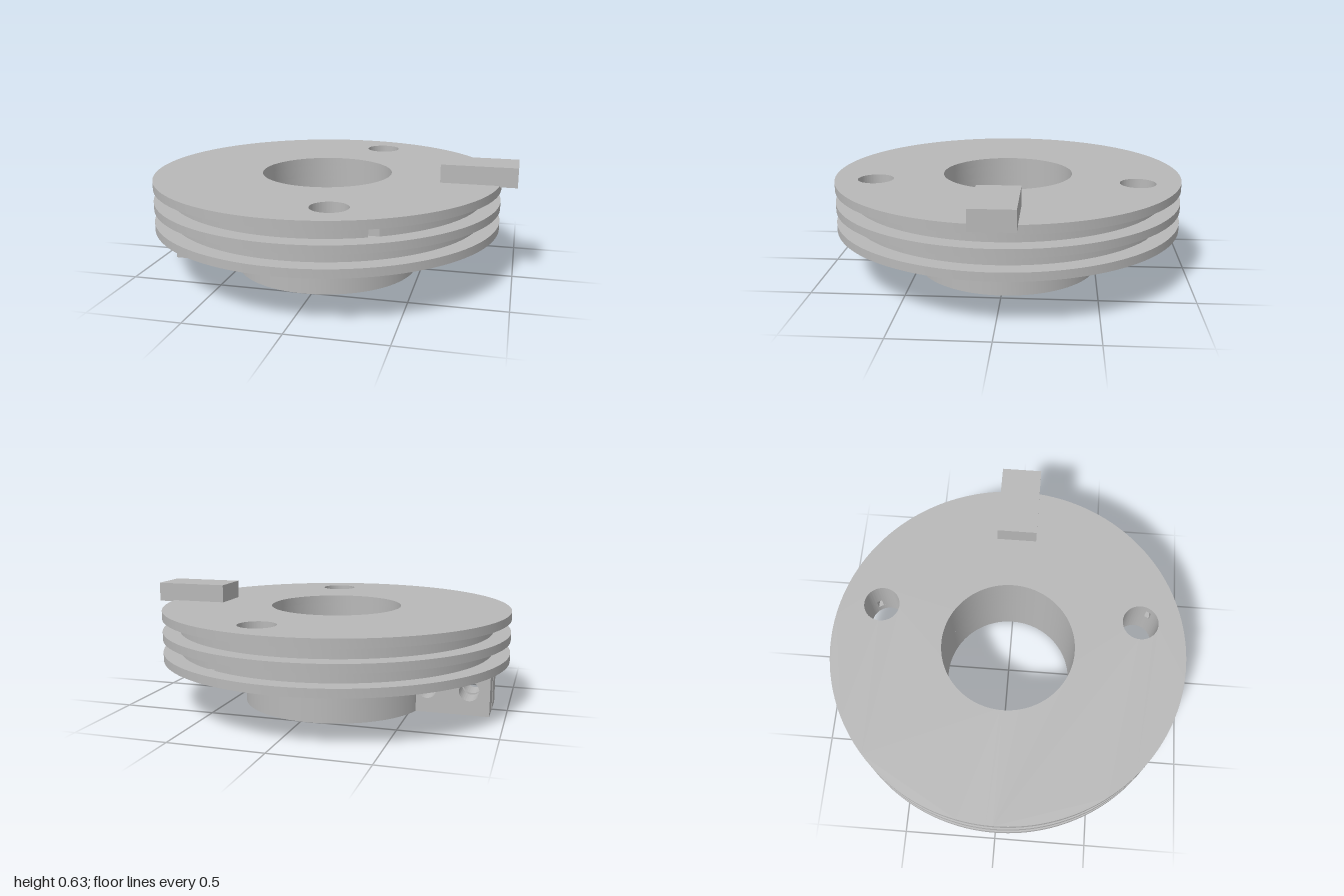
import * as THREE from 'three';
import { toCreasedNormals } from 'three/addons/utils/BufferGeometryUtils.js';

const BORE = 0.36, FLANGE_R = 0.957, GROOVE_R = 0.865, HUB_R = 0.51;
const HOLE = { x: 0.19, y: 0.71, r: 0.097 };
const HUB_H = 0.26;

function circle(Type, x, y, r) {
  const c = new Type();
  c.absarc(x, y, r, 0, Math.PI * 2, false);
  return c;
}

function extrude(shape, depth) {
  const geo = new THREE.ExtrudeGeometry(shape, { depth, bevelEnabled: false, curveSegments: 80 });
  return toCreasedNormals(geo, 0.5);
}

// Full flange: bore plus two through holes
function flangeShape() {
  const s = circle(THREE.Shape, 0, 0, FLANGE_R);
  s.holes.push(circle(THREE.Path, 0, 0, BORE));
  for (const k of [-1, 1]) s.holes.push(circle(THREE.Path, HOLE.x, k * HOLE.y, HOLE.r));
  return s;
}

// Groove core: one through hole opens to the rim by a narrow cord slot
function grooveShape() {
  const lo = 0.746, hi = 0.772;
  const s = new THREE.Shape();
  s.absarc(0, 0, GROOVE_R, Math.asin(hi / GROOVE_R), Math.asin(lo / GROOVE_R) + Math.PI * 2, false);
  s.absarc(HOLE.x, HOLE.y, HOLE.r, Math.asin((lo - HOLE.y) / HOLE.r), Math.asin((hi - HOLE.y) / HOLE.r), true);
  s.closePath();
  s.holes.push(circle(THREE.Path, 0, 0, BORE));
  s.holes.push(circle(THREE.Path, HOLE.x, -HOLE.y, HOLE.r));
  return s;
}

// Split hub ring, flattened where the clamp ears join
const EAR_Z = 0.15, SLIT = 0.016, EAR_END = -0.876;
const EAR_X = -Math.sqrt(HUB_R ** 2 - EAR_Z ** 2);
function hubShape() {
  const a = Math.PI - Math.asin(EAR_Z / HUB_R);
  const b = Math.PI - Math.asin(SLIT / BORE);
  const s = new THREE.Shape();
  s.absarc(0, 0, HUB_R, -a, a, false);
  s.lineTo(EAR_X, SLIT);
  s.absarc(0, 0, BORE, b, -b, true);
  s.lineTo(EAR_X, -SLIT);
  s.closePath();
  return s;
}

// Clamp ear with two bolt holes
function earShape() {
  const s = new THREE.Shape();
  s.moveTo(EAR_END, 0);
  s.lineTo(EAR_X, 0);
  s.lineTo(EAR_X, HUB_H);
  s.lineTo(EAR_END, HUB_H);
  s.closePath();
  for (const x of [-0.768, -0.545]) s.holes.push(circle(THREE.Path, x, 0.13, 0.053));
  return s;
}

export function createModel() {
  const model = new THREE.Group();
  model.name = 'clampPulley';
  const body = new THREE.Group();
  body.name = 'body';
  body.position.x = -0.042;
  model.add(body);
  const grey = new THREE.MeshStandardMaterial({ color: 0xb8b8b8 });
  grey.name = 'plain grey';

  const add = (name, geo, y = 0, rotX = 0, z = 0) => {
    const m = new THREE.Mesh(geo, grey);
    m.name = name;
    m.position.set(0, y, z);
    m.rotation.x = rotX;
    body.add(m);
    return m;
  };
  const UP = -Math.PI / 2, DOWN = Math.PI / 2;

  // Three flanges
  [['lowerFlange', 0.26, 0.305], ['middleFlange', 0.374, 0.418], ['upperFlange', 0.486, 0.532]]
    .forEach(([name, y0, y1]) => add(name, extrude(flangeShape(), y1 - y0), y0, UP));

  // Groove cores, slots on opposite sides (the upper one is flipped over)
  add('lowerGroove', extrude(grooveShape(), 0.069), 0.305, UP);
  add('upperGroove', extrude(grooveShape(), 0.068), 0.486, DOWN);

  // Hub and clamp ears
  add('hub', extrude(hubShape(), HUB_H), 0, UP);
  const ear = extrude(earShape(), EAR_Z - SLIT);
  add('frontClampEar', ear, 0, 0, SLIT);
  add('backClampEar', ear, 0, 0, -EAR_Z);

  // Pointer block on the top face, overhanging the rim
  const block = add('pointerBlock', new THREE.BoxGeometry(0.4, 0.105, 0.22), 0.5775);
  block.position.x = 0.842;

  return model;
}
